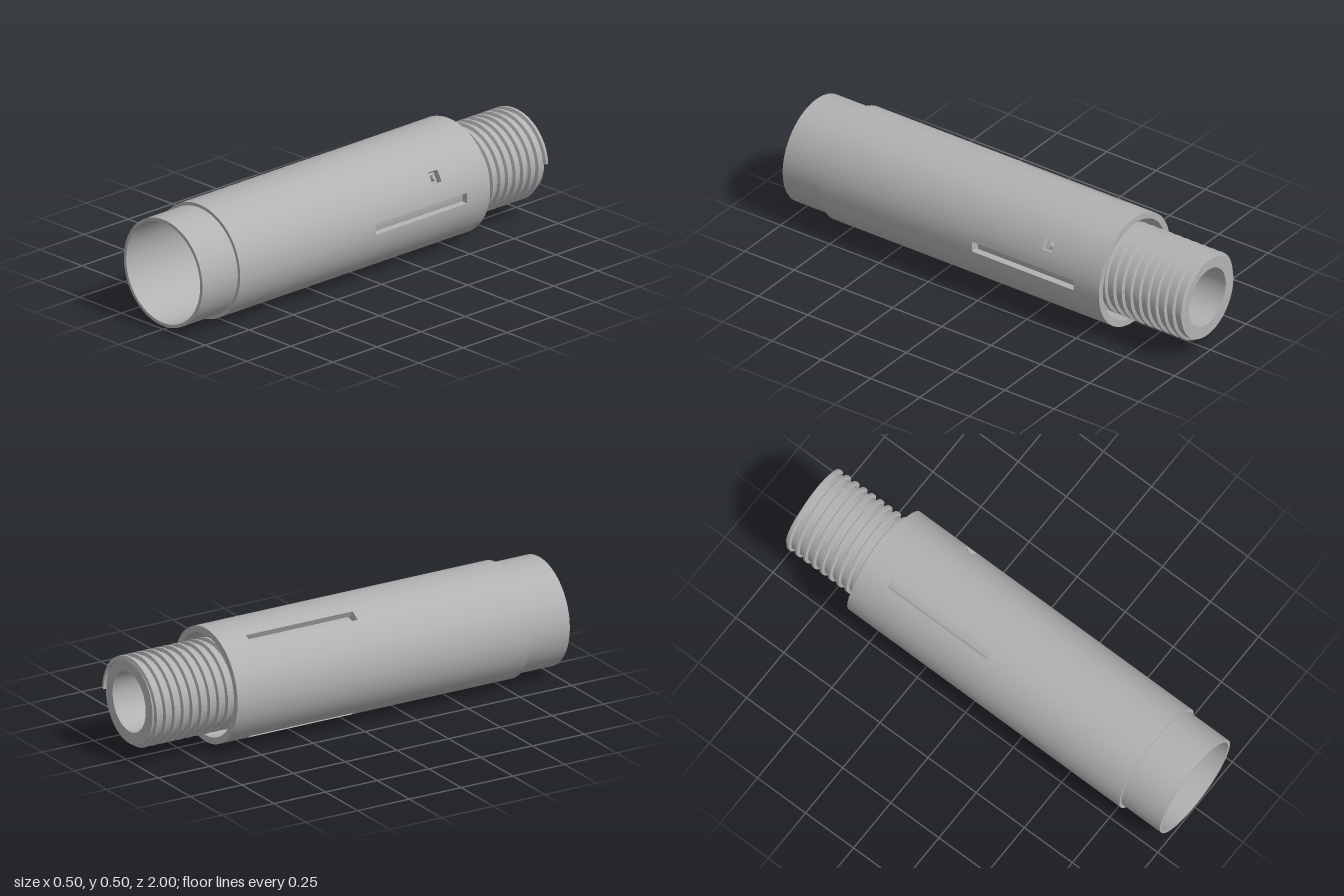
import * as THREE from 'three';

const R = 0.249, WALL_IN = 0.221, NECK = 0.182, BORE = 0.129, DEG = Math.PI / 180;
const grey = new THREE.MeshStandardMaterial({ color: 0xb2b2b2 });
grey.name = 'plain grey';

function add(parent, name, geometry) {
  const mesh = new THREE.Mesh(geometry, grey);
  mesh.name = name;
  parent.add(mesh);
  return mesh;
}

// Full tube between z0 and z1
function ring(rIn, rOut, z0, z1) {
  const shape = new THREE.Shape().absarc(0, 0, rOut, 0, Math.PI * 2, false);
  shape.holes.push(new THREE.Path().absarc(0, 0, rIn, 0, Math.PI * 2, true));
  return new THREE.ExtrudeGeometry(shape, { depth: z1 - z0, bevelEnabled: false, curveSegments: 60 })
    .translate(0, 0, z0);
}

// Part of a tube between two angles (degrees)
function sector(a0, a1, z0, z1) {
  const shape = new THREE.Shape();
  shape.absarc(0, 0, R, a0 * DEG, a1 * DEG, false);
  shape.absarc(0, 0, WALL_IN, a1 * DEG, a0 * DEG, true);
  const curveSegments = Math.max(2, Math.round((a1 - a0) / 6));
  return new THREE.ExtrudeGeometry(shape, { depth: z1 - z0, bevelEnabled: false, curveSegments })
    .translate(0, 0, z0);
}

// Small wall panel with a round hole, bent around the axis
function holePanel(a, halfAngle, z0, z1, zHole, rHole) {
  const w = halfAngle * DEG * R;
  const shape = new THREE.Shape([[-w, z0], [w, z0], [w, z1], [-w, z1]].map(p => new THREE.Vector2(...p)));
  shape.holes.push(new THREE.Path().absarc(0, zHole, rHole, 0, Math.PI * 2, true));
  const geo = new THREE.ExtrudeGeometry(shape, { depth: R - WALL_IN, bevelEnabled: false, curveSegments: 16 });
  const p = geo.attributes.position;
  for (let i = 0; i < p.count; i++) {
    const t = a * DEG + p.getX(i) / R, r = WALL_IN + p.getZ(i), z = p.getY(i);
    p.setXYZ(i, r * Math.cos(t), r * Math.sin(t), z);
  }
  // (angle, z, radius) is a mirrored frame here, so turn the faces round
  for (let i = 0; i < p.count; i += 3) {
    const b = new THREE.Vector3().fromBufferAttribute(p, i + 1);
    p.setXYZ(i + 1, p.getX(i + 2), p.getY(i + 2), p.getZ(i + 2));
    p.setXYZ(i + 2, b.x, b.y, b.z);
  }
  geo.computeVertexNormals();
  return geo;
}

// Helical ridge with a trapezoid section
function threadGeometry(zEnd, pitch, turns) {
  const section = [[NECK - 0.004, -0.012], [0.196, -0.006], [0.196, 0.006], [NECK - 0.004, 0.012]];
  const steps = turns * 60, pos = [], index = [];
  for (let i = 0; i <= steps; i++) {
    const t = i / 60 * Math.PI * 2, z = zEnd + pitch * i / 60;
    for (const [r, dz] of section) pos.push(r * Math.cos(t), r * Math.sin(t), z + dz);
  }
  for (let i = 0; i < steps; i++) {
    for (let j = 0; j < 4; j++) {
      const a = i * 4 + j, b = i * 4 + (j + 1) % 4;
      index.push(a, a + 4, b, b, a + 4, b + 4);
    }
  }
  const e = steps * 4;
  index.push(0, 1, 2, 0, 2, 3, e, e + 2, e + 1, e, e + 3, e + 2);
  const geo = new THREE.BufferGeometry();
  geo.setAttribute('position', new THREE.Float32BufferAttribute(pos, 3));
  geo.setIndex(index);
  const flat = geo.toNonIndexed();
  flat.computeVertexNormals();
  return flat;
}

export function createModel() {
  const model = new THREE.Group();
  model.name = 'threadedTube';
  const axis = new THREE.Group();
  axis.name = 'tubeAssembly';
  axis.position.y = R;
  model.add(axis);

  // Outer sleeve: plain ends with a slotted middle
  const sleeve = new THREE.Group();
  sleeve.name = 'outerSleeve';
  axis.add(sleeve);
  const zBack = -0.615, s0 = -0.485, s1 = 0.03, half = 5.4;
  add(sleeve, 'sleeveFront', ring(WALL_IN, R, s1, 0.8));
  add(sleeve, 'sleeveBack', ring(WALL_IN, R, zBack, s0));

  // Three slots, 120 degrees apart; the first wall carries a pin hole
  const hz0 = -0.36, hz1 = -0.31;
  add(sleeve, 'slotWall', sector(half, 120 - half, s0, hz0));
  add(sleeve, 'slotWall', sector(half, 120 - half, hz1, s1));
  add(sleeve, 'slotWall', sector(half, 24, hz0, hz1));
  add(sleeve, 'slotWall', sector(36, 120 - half, hz0, hz1));
  add(sleeve, 'pinHolePanel', holePanel(30, 6, hz0, hz1, -0.335, 0.014));
  for (const a of [120, 240]) add(sleeve, 'slotWall', sector(a + half, a + 120 - half, s0, s1));

  // Stepped front collar
  add(axis, 'frontCollar', ring(WALL_IN, 0.235, 0.8, 1));

  // Inner plug and neck with a through bore
  add(axis, 'innerPlug', ring(BORE, WALL_IN, 0.05, 0.2));
  add(axis, 'neck', ring(BORE, NECK, -0.985, 0.05));
  add(axis, 'neckThread', threadGeometry(-0.988, 0.043, 10));
  return model;
}
